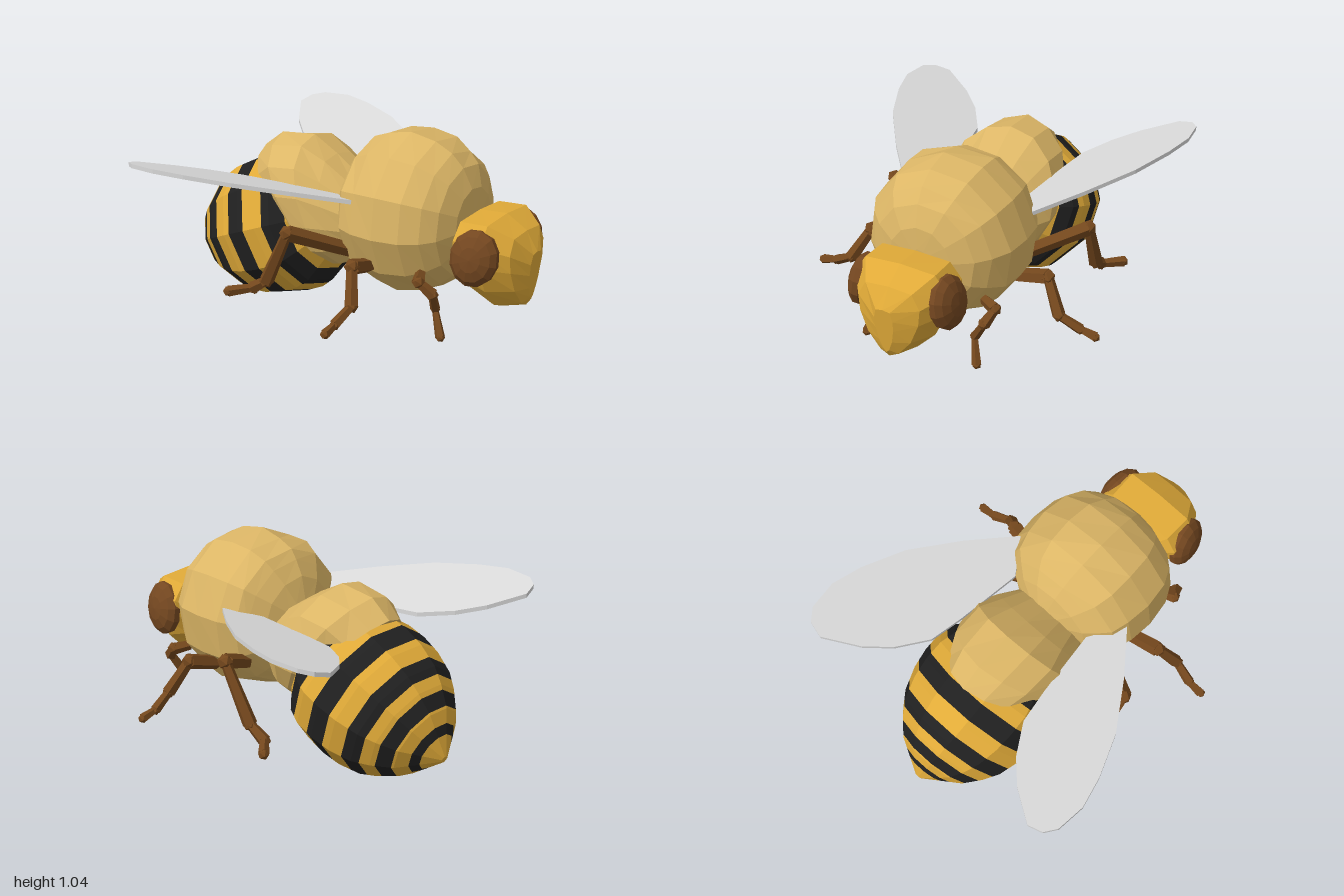
import * as THREE from 'three';
import { mergeGeometries } from 'three/addons/utils/BufferGeometryUtils.js';

const V = (x, y, z) => new THREE.Vector3(x, y, z);

function material(name, color) {
  const m = new THREE.MeshStandardMaterial({ color, flatShading: true });
  m.name = name;
  return m;
}

function part(name, geometry, mat) {
  const mesh = new THREE.Mesh(geometry, mat);
  mesh.name = name;
  return mesh;
}

// Unit outline, running from the top towards +z
const circle = (n, turn = 0) => Array.from({ length: n }, (_, i) => {
  const t = (i / n) * Math.PI * 2 + turn;
  return [Math.sin(t), Math.cos(t)];
});

// Fixed small irregularity for the furry parts
const noise = (i, j) => {
  const s = Math.sin(i * 12.99 + j * 78.23) * 43758.55;
  return (s - Math.floor(s)) * 2 - 1;
};

// Cross-section between a top and a bottom point, with half width w
function ring([tx, ty, bx, by, w], outline, rough = 0, i = 0) {
  return outline.map(([z, v], j) => {
    const k = 1 + rough * noise(i, j);
    return V((tx + bx) / 2 + (tx - bx) / 2 * v * k, (ty + by) / 2 + (ty - by) / 2 * v * k, w * z * k);
  });
}

// Skin over cross-sections that advance towards +x
function loft(rings, caps = true) {
  const tri = [];
  const n = rings[0].length;
  for (let i = 0; i < rings.length - 1; i++) {
    for (let j = 0; j < n; j++) {
      const k = (j + 1) % n;
      const a = rings[i][j], b = rings[i][k], c = rings[i + 1][k], d = rings[i + 1][j];
      tri.push(a, b, c, a, c, d);
    }
  }
  if (caps) {
    for (const [r, start] of [[rings[0], true], [rings[rings.length - 1], false]]) {
      const mid = r.reduce((s, p) => s.add(p), V(0, 0, 0)).divideScalar(n);
      r.forEach((p, j) => {
        const q = r[(j + 1) % n];
        tri.push(mid, start ? q : p, start ? p : q);
      });
    }
  }
  const g = new THREE.BufferGeometry().setFromPoints(tri);
  g.computeVertexNormals();
  return g;
}

// Tapered five-sided limb segment
function segment(a, b, ra, rb) {
  const dir = b.clone().sub(a);
  const g = new THREE.CylinderGeometry(rb, ra, dir.length(), 5);
  g.applyQuaternion(new THREE.Quaternion().setFromUnitVectors(V(0, 1, 0), dir.normalize()));
  const mid = a.clone().add(b).multiplyScalar(0.5);
  return g.translate(mid.x, mid.y, mid.z);
}

function leg(points, radii) {
  const parts = [];
  for (let i = 0; i < points.length - 1; i++) {
    const a = V(...points[i]), b = V(...points[i + 1]);
    parts.push(segment(a, b, radii[i] * 0.75, radii[i + 1] * 1.15));
    parts.push(new THREE.IcosahedronGeometry(radii[i + 1] * 1.1, 0).translate(b.x, b.y, b.z));
  }
  return mergeGeometries(parts.map(p => (p.index ? p.toNonIndexed() : p)));
}

export function createModel() {
  const bee = new THREE.Group();
  bee.name = 'bee';
  const fur = material('tan fur', 0xdcb666);
  const yellow = material('golden yellow', 0xe0aa38);
  const black = material('stripe black', 0x202020);
  const brown = material('leg brown', 0x75481d);
  const eyeBrown = material('eye brown', 0x744720);
  const wingGrey = material('wing grey', 0xdadada);
  wingGrey.side = THREE.DoubleSide;

  // Striped abdomen: bands along a tilted axis, as [distance from tail, radius]
  const profile = [[0, 0.02], [0.13, 0.21], [0.22, 0.285], [0.3, 0.335], [0.42, 0.372],
    [0.53, 0.385], [0.64, 0.38], [0.72, 0.352], [0.82, 0.26], [0.98, 0.12]];
  const radiusAt = s => {
    const i = Math.max(1, profile.findIndex(p => p[0] >= s));
    const [s0, r0] = profile[i - 1], [s1, r1] = profile[i];
    return r0 + (r1 - r0) * (s - s0) / (s1 - s0);
  };
  const breaks = [0, 0.06, 0.09, 0.14, 0.2, 0.265, 0.35, 0.46, 0.565, 0.68, 0.78, 0.98];
  const abdomen = new THREE.Group();
  abdomen.name = 'abdomen';
  const round11 = circle(11, Math.PI / 11);
  for (let b = 0; b < breaks.length - 1; b++) {
    const from = breaks[b], to = breaks[b + 1];
    const stops = [from, ...profile.map(p => p[0]).filter(s => s > from && s < to), to];
    const rings = stops.map(s => {
      const r = radiusAt(s), x = -1 + 0.93 * s, y = 0.2 + 0.365 * s;
      return ring([x - 0.365 * r, y + 0.93 * r, x + 0.365 * r, y - 0.93 * r, r], round11);
    });
    const dark = b % 2 === 1;
    abdomen.add(part(dark ? 'blackStripe' : 'yellowBand', loft(rings, b === 0), dark ? black : yellow));
  }
  bee.add(abdomen);

  // Furry collar draped over the front of the abdomen
  const collarRings = [[-0.5, 0.72, -0.1, 0.31, 0.2], [-0.62, 0.8, -0.13, 0.27, 0.25],
    [-0.51, 0.89, -0.09, 0.26, 0.3], [-0.31, 0.915, -0.05, 0.27, 0.31],
    [-0.17, 0.84, 0, 0.3, 0.26], [0, 0.72, 0.06, 0.36, 0.2]];
  const round14 = circle(14);
  bee.add(part('furCollar', loft(collarRings.map((r, i) => ring(r, round14, 0.025, i))), fur));

  // Furry thorax, as [x, radius]
  const thoraxRings = [[-0.04, 0.12], [0, 0.23], [0.05, 0.305], [0.09, 0.355], [0.18, 0.393], [0.31, 0.41],
    [0.45, 0.39], [0.54, 0.335], [0.6, 0.275], [0.645, 0.17], [0.655, 0.06]];
  const round12 = circle(12, 0.12);
  bee.add(part('thorax', loft(thoraxRings.map(([x, r], i) =>
    ring([x, 0.63 + r, x, 0.63 - r, r], round12, 0.02, i))), fur));

  // Head: broad on top, tapering to the chin
  const half = [[0, 1], [0.75, 0.95], [1, 0.55], [0.95, 0.1], [0.7, -0.45], [0.3, -0.87]];
  const face = [...half, [0, -1], ...half.slice(1).reverse().map(([z, v]) => [-z, v])];
  const headRings = [[0.62, 0.58, 0.62, 0.36, 0.14], [0.68, 0.7, 0.66, 0.3, 0.245],
    [0.83, 0.71, 0.81, 0.225, 0.25], [0.94, 0.645, 0.95, 0.265, 0.165], [1, 0.55, 0.975, 0.3, 0.05]];
  bee.add(part('head', loft(headRings.map(r => ring(r, face))), yellow));

  // Wing outline as [x, distance from the centre line]
  const outline = [[0.17, 0.36], [-0.06, 0.54], [-0.3, 0.7], [-0.52, 0.79], [-0.68, 0.83], [-0.83, 0.815],
    [-0.89, 0.77], [-0.91, 0.69], [-0.8, 0.52], [-0.69, 0.41], [-0.53, 0.31], [-0.35, 0.28], [0, 0.24]];
  const wing = new THREE.ExtrudeGeometry(new THREE.Shape(outline.map(p => new THREE.Vector2(...p))),
    { depth: 0.022, bevelEnabled: false });
  const pos = wing.attributes.position;
  for (let i = 0; i < pos.count; i++) {
    const out = pos.getY(i);
    pos.setXYZ(i, pos.getX(i), 0.71 + 0.27 * (out - 0.3) + pos.getZ(i), -out);
  }
  wing.computeVertexNormals();

  // Legs on the +z side
  const legs = {
    rearLeg: leg([[0.1, 0.45, 0.27], [-0.07, 0.59, 0.56], [-0.22, 0.3, 0.54], [-0.31, 0.24, 0.53],
      [-0.4, 0.23, 0.62]], [0.05, 0.036, 0.033, 0.03, 0.025]),
    middleLeg: leg([[0.25, 0.42, 0.33], [0.27, 0.47, 0.5], [0.33, 0.31, 0.59], [0.31, 0.25, 0.7],
      [0.31, 0.23, 0.78]], [0.05, 0.036, 0.03, 0.024, 0.022]),
    frontLeg: leg([[0.52, 0.42, 0.28], [0.56, 0.41, 0.36], [0.62, 0.35, 0.33], [0.6, 0.25, 0.27],
      [0.655, 0.13, 0.31]], [0.035, 0.03, 0.028, 0.022, 0.022]),
  };

  // Mirrored pairs: wings, legs and eyes
  for (const side of [1, -1]) {
    const pair = new THREE.Group();
    pair.name = side > 0 ? 'nearSide' : 'farSide';
    pair.scale.z = side;
    const w = part('wing', wing, wingGrey);
    w.scale.z = -1;
    pair.add(w);
    for (const [name, g] of Object.entries(legs)) pair.add(part(name, g, brown));
    const eye = part('eye', new THREE.SphereGeometry(1, 12, 7).rotateX(Math.PI / 2), eyeBrown);
    eye.scale.set(0.125, 0.145, 0.07);
    eye.position.set(0.785, 0.54, 0.225);
    eye.rotation.set(-0.15, 0.12, -0.2);
    pair.add(eye);
    bee.add(pair);
  }
  return bee;
}
